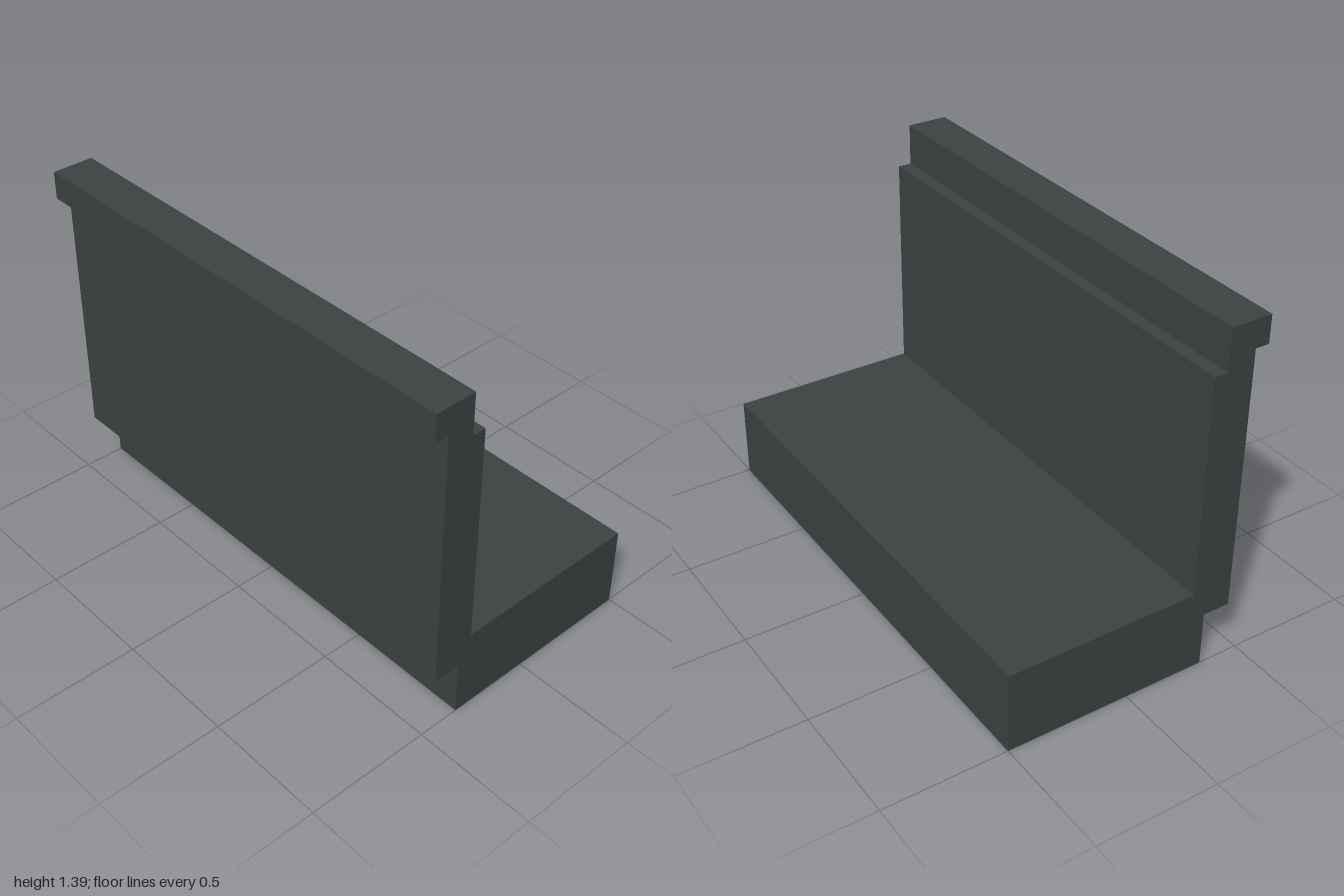
import * as THREE from 'three';

export function createModel() {
  const group = new THREE.Group();
  group.name = 'bench';

  const darkSlate = new THREE.MeshStandardMaterial({ color: 0x3c4342 });
  darkSlate.name = 'dark slate';

  // Stepped cross-section: seat block, upright back and overhanging top rail
  const profile = [
    [-0.333, 0], [0.5, 0], [0.5, 0.333], [-0.278, 0.333],     // seat
    [-0.278, 1.222], [-0.333, 1.222],                         // back, inner side
    [-0.333, 1.389], [-0.5, 1.389], [-0.5, 1.278],            // top rail
    [-0.444, 1.278], [-0.444, 0.222], [-0.333, 0.222],        // back, outer side
  ];
  const shape = new THREE.Shape(profile.map(([x, y]) => new THREE.Vector2(x, y)));

  // Run the section along the full length, centred on z
  const length = 2;
  const geometry = new THREE.ExtrudeGeometry(shape, { depth: length, bevelEnabled: false });
  geometry.translate(0, 0, -length / 2);

  const body = new THREE.Mesh(geometry, darkSlate);
  body.name = 'seatBackAndRail';
  group.add(body);

  return group;
}
